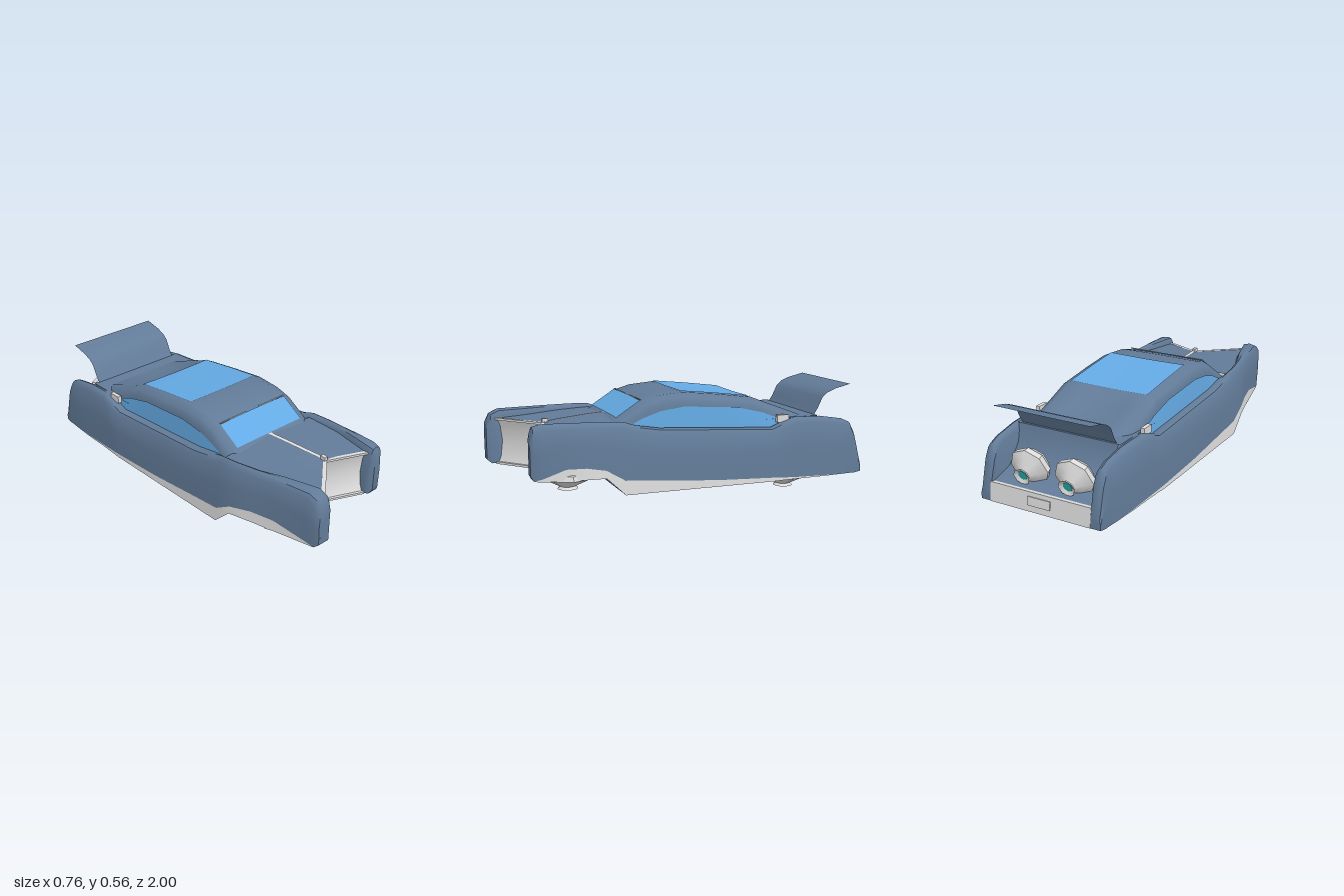
import * as THREE from 'three';
import { toCreasedNormals } from 'three/addons/utils/BufferGeometryUtils.js';

const mat = (name, color) => new THREE.MeshStandardMaterial({ name, color, side: THREE.DoubleSide });

// Skin a grid of cross-sections (rows of [x, y, z] points)
function skin(rows, crease = 0.7) {
  const n = rows[0].length, index = [];
  for (let i = 0; i < rows.length - 1; i++)
    for (let j = 0; j < n - 1; j++) {
      const a = i * n + j, b = a + n;
      index.push(a, b, a + 1, b, b + 1, a + 1);
    }
  const g = new THREE.BufferGeometry();
  g.setAttribute('position', new THREE.Float32BufferAttribute(rows.flat(2), 3));
  g.setIndex(index);
  return toCreasedNormals(g, crease);
}

// Side stations: z, outer x low, outer x high, inner x, bottom y, sill top y, top y
const rear = [
  [-0.995, 0.345, 0.34, 0.29, 0.07, 0.07, 0.13],
  [-0.955, 0.35, 0.34, 0.285, 0.065, 0.066, 0.30],
  [-0.93, 0.35, 0.34, 0.285, 0.065, 0.066, 0.35],
  [-0.88, 0.355, 0.34, 0.285, 0.065, 0.066, 0.372],
  [-0.74, 0.365, 0.345, 0.285, 0.065, 0.07, 0.395],
  [-0.58, 0.37, 0.355, 0.285, 0.065, 0.075, 0.40],
  [-0.50, 0.375, 0.36, 0.28, 0.065, 0.08, 0.375],
  [-0.44, 0.38, 0.36, 0.28, 0.065, 0.085, 0.352],
  [-0.10, 0.38, 0.36, 0.28, 0.065, 0.10, 0.372],
  [0.20, 0.38, 0.36, 0.28, 0.065, 0.125, 0.39],
  [0.33, 0.38, 0.358, 0.285, 0.065, 0.135, 0.412],
];
// The nose is skewed: the right fender reaches further forward than the left
const leftNose = [
  [0.40, 0.38, 0.355, 0.30, 0.065, 0.14, 0.435],
  [0.50, 0.38, 0.355, 0.30, 0.16, 0.20, 0.44],
  [0.60, 0.375, 0.35, 0.30, 0.16, 0.218, 0.443],
  [0.70, 0.36, 0.35, 0.285, 0.16, 0.218, 0.445],
  [0.82, 0.345, 0.345, 0.265, 0.16, 0.175, 0.445],
  [0.86, 0.335, 0.34, 0.27, 0.165, 0.166, 0.435],
  [0.875, 0.325, 0.325, 0.285, 0.19, 0.191, 0.40],
];
const rightNose = [
  [0.40, 0.38, 0.355, 0.31, 0.065, 0.14, 0.435],
  [0.50, 0.38, 0.35, 0.30, 0.16, 0.20, 0.44],
  [0.62, 0.35, 0.33, 0.275, 0.16, 0.218, 0.443],
  [0.75, 0.32, 0.305, 0.23, 0.16, 0.218, 0.447],
  [0.93, 0.28, 0.28, 0.183, 0.16, 0.175, 0.45],
  [0.975, 0.27, 0.275, 0.18, 0.16, 0.161, 0.43],
  [1.0, 0.26, 0.26, 0.192, 0.18, 0.181, 0.385],
];
const left = [...rear, ...leftNose], right = [...rear, ...rightNose];
const midX = [0, 0.013, 0.026, 0.038, 0.055], midZ = [0.4, 0.5, 0.58, 0.66, 0.74];
const N = rear.length;

const sillX = ([, xb, xt, , yb, ys, yt]) => xb + (xt - xb) * (ys - yb) / (yt - yb);

// Closed section of one body side, from the sill up, over and under
function section(st, s) {
  const [z, xb, xt, xi, yb, ys, yt] = st, h = Math.min(0.03, (yt - yb) / 4);
  const xs = sillX(st);
  return [[xs, ys], [(xs + xt) / 2 + 0.004, (ys + yt) / 2], [xt, yt - h], [xt - 0.014, yt - h * 0.25],
    [(xt + xi) / 2, yt], [xi + 0.012, yt - h * 0.25], [xi, yt - h], [xi, yb], [xb, yb]]
    .map(([x, y]) => [s * x, y, z]);
}

function bodySide(stations, s) {
  const rows = stations.map(st => section(st, s));
  const cap = r => {
    const c = [0, 1, 2].map(k => r.reduce((t, p) => t + p[k], 0) / r.length);
    return r.map(() => c);
  };
  return skin([cap(rows[0]), ...rows, cap(rows[rows.length - 1])]);
}

// Cabin stations: z, rail height, centre height
const cabin = [
  [0.43, 0.415, 0.415], [0.40, 0.435, 0.437], [0.27, 0.518, 0.522], [0.18, 0.544, 0.546], [0.04, 0.556, 0.553],
  [-0.15, 0.536, 0.533], [-0.36, 0.509, 0.505], [-0.43, 0.482, 0.44], [-0.52, 0.448, 0.408], [-0.66, 0.395, 0.395],
];
function cabinSection([z, yt, yc]) {
  const half = [[0.30, 0.33], [0.29, Math.max(0.345, yt - 0.06)], [0.276, yt - 0.02], [0.235, yt],
    [0.14, yt * 0.4 + yc * 0.6], [0, yc]];
  return [...half, ...half.slice(0, -1).reverse().map(([x, y]) => [-x, y])].map(([x, y]) => [x, y, z]);
}
// Glass lying just above the cabin skin
const pane = stations => skin(stations.map(([z, yt, yc]) =>
  [[0.23, yt], [0.14, yt * 0.4 + yc * 0.6], [0, yc], [-0.14, yt * 0.4 + yc * 0.6], [-0.23, yt]]
    .map(([x, y]) => [x, y + 0.005, z + 0.002])));
const strip = (w, profile) => skin(profile.map(([z, y]) => [[w, y, z], [0, y, z], [-w, y, z]]));

export function createModel() {
  const model = new THREE.Group();
  const paint = mat('bluePaint', 0x627b98), glass = mat('blueGlass', 0x64aae4);
  const chrome = mat('paleMetal', 0xdcdcdc), glow = mat('tealGlow', 0x2fb5b5);
  const add = (name, geo, m, parent = model) => {
    const mesh = new THREE.Mesh(geo, m);
    mesh.name = name;
    parent.add(mesh);
    return mesh;
  };
  const box = (name, size, pos, m) => {
    const b = add(name, new THREE.BoxGeometry(...size), m);
    b.position.set(...pos);
    return b;
  };

  // Body sides, sills, side windows and window corner trim
  for (const [side, s, st] of [['left', 1, left], ['right', -1, right]]) {
    add(side + 'BodySide', bodySide(st, s), paint);
    add(side + 'Sill', skin(st.map(p => [[s * p[1], p[4], p[0]], [s * sillX(p), p[5], p[0]]])), chrome);
    const top = [[0.35, 0.405], [0.28, 0.44], [0.18, 0.472], [0.05, 0.488], [-0.25, 0.468], [-0.4, 0.432], [-0.54, 0.378]];
    add(side + 'SideWindow', skin(top.map(([z, y]) => [[s * 0.304, 0.33, z], [s * 0.296, y, z]])), glass);
    box(side + 'WindowTrim', [0.022, 0.04, 0.07], [s * 0.312, 0.395, -0.515], chrome);
    box(side + 'WindshieldTrim', [0.18, 0.004, 0.006], [s * 0.14, 0.527, 0.268], chrome);
  }

  // Floor, rising under the nose
  add('floor', skin(left.slice(0, N + 5).map((l, i) => {
    const r = right[i], k = i - N;
    return [[l[3], l[4], l[0]], [k < 0 ? 0 : midX[k], l[4], k < 0 ? l[0] : midZ[k]], [-r[3], r[4], r[0]]];
  })), paint);

  // Hood with centre strip
  const edgeY = [0.418, 0.416, 0.413, 0.409, 0.405], midY = [0.432, 0.428, 0.422, 0.416, 0.408];
  add('hood', skin(midX.map((x, i) => [
    [leftNose[i][3], edgeY[i], leftNose[i][0]], [x, midY[i], midZ[i]], [-rightNose[i][3], edgeY[i], rightNose[i][0]]])), paint);
  add('hoodStrip', skin(midX.map((x, i) => [-0.011, 0.011].map(d => [x + d, midY[i] + 0.005, midZ[i]]))), chrome);
  box('hoodOrnament', [0.02, 0.02, 0.03], [0.05, 0.419, 0.735], chrome);

  // Grille folded into a V, slightly hollow, with a rim bar on top
  const fold = [[0.27, 0.83], [0.055, 0.74], [-0.185, 0.945]];
  add('grille', skin([[0.155, 0], [0.2, 0.02], [0.28, 0.03], [0.36, 0.02], [0.405, 0]]
    .map(([y, d]) => fold.map(([x, z]) => [x, y, z - d]))), chrome);
  for (let i = 0; i < 2; i++) {
    const [x0, z0] = fold[i], [x1, z1] = fold[i + 1];
    for (const y of [0.402, 0.162]) {
      const bar = box('grilleRim', [Math.hypot(x1 - x0, z1 - z0), 0.012, 0.02], [(x0 + x1) / 2, y, (z0 + z1) / 2], chrome);
      bar.rotation.y = Math.atan2(z0 - z1, x1 - x0);
    }
  }

  // Cabin and its glass
  add('cabin', skin(cabin.map(cabinSection), 0.8), paint);
  add('windshield', pane(cabin.slice(1, 3)), glass);
  add('rearWindow', pane(cabin.slice(4, 7)), glass);

  // Rear deck, open engine bay and raised lid
  add('rearDeck', strip(0.3, [[-0.4, 0.392], [-0.6, 0.394], [-0.74, 0.396]]), paint);
  add('engineBay', strip(0.29, [[-0.74, 0.396], [-0.76, 0.30], [-0.84, 0.2], [-0.97, 0.165]]), paint);
  add('raisedLid', strip(0.275, [[-0.73, 0.397], [-0.752, 0.43], [-0.78, 0.488], [-0.81, 0.515], [-0.86, 0.535], [-0.955, 0.557]]), paint);

  // Rear bumper and plate holder
  box('rearBumper', [0.58, 0.1, 0.035], [0, 0.118, -0.975], chrome).rotation.x = 0.12;
  box('plateHolder', [0.13, 0.045, 0.008], [0, 0.125, -0.993], chrome).rotation.x = 0.12;

  // Thrusters: faceted bells with a flared nozzle
  const bell = toCreasedNormals(new THREE.LatheGeometry(
    [[0.03, 0.012], [0.055, 0], [0.04, 0.013], [0.085, 0.035], [0.13, 0.058], [0.122, 0.085], [0.075, 0.118], [0, 0.13]]
      .map(p => new THREE.Vector2(...p)), 8), 0.6);
  const thruster = (name, x, y, z) => {
    const g = new THREE.Group();
    g.name = name;
    g.position.set(x, y, z);
    add('bell', bell, chrome, g);
    add('nozzleGlow', new THREE.CylinderGeometry(0.031, 0.031, 0.004, 8), glow, g).position.y = 0.011;
    model.add(g);
    return g;
  };
  thruster('frontLeftThruster', 0.25, 0.097, 0.67);
  thruster('frontRightThruster', -0.2, 0.097, 0.71);
  for (const s of [1, -1]) {
    thruster('rearThruster', s * 0.225, 0.002, -0.57);
    // Rear engines point backwards inside the open bay
    const engine = thruster('rearEngine', s * 0.13, 0.215, -0.95);
    engine.rotation.x = Math.PI / 2 - 0.3;
    engine.scale.set(0.85, 1.2, 0.85);
  }
  return model;
}
